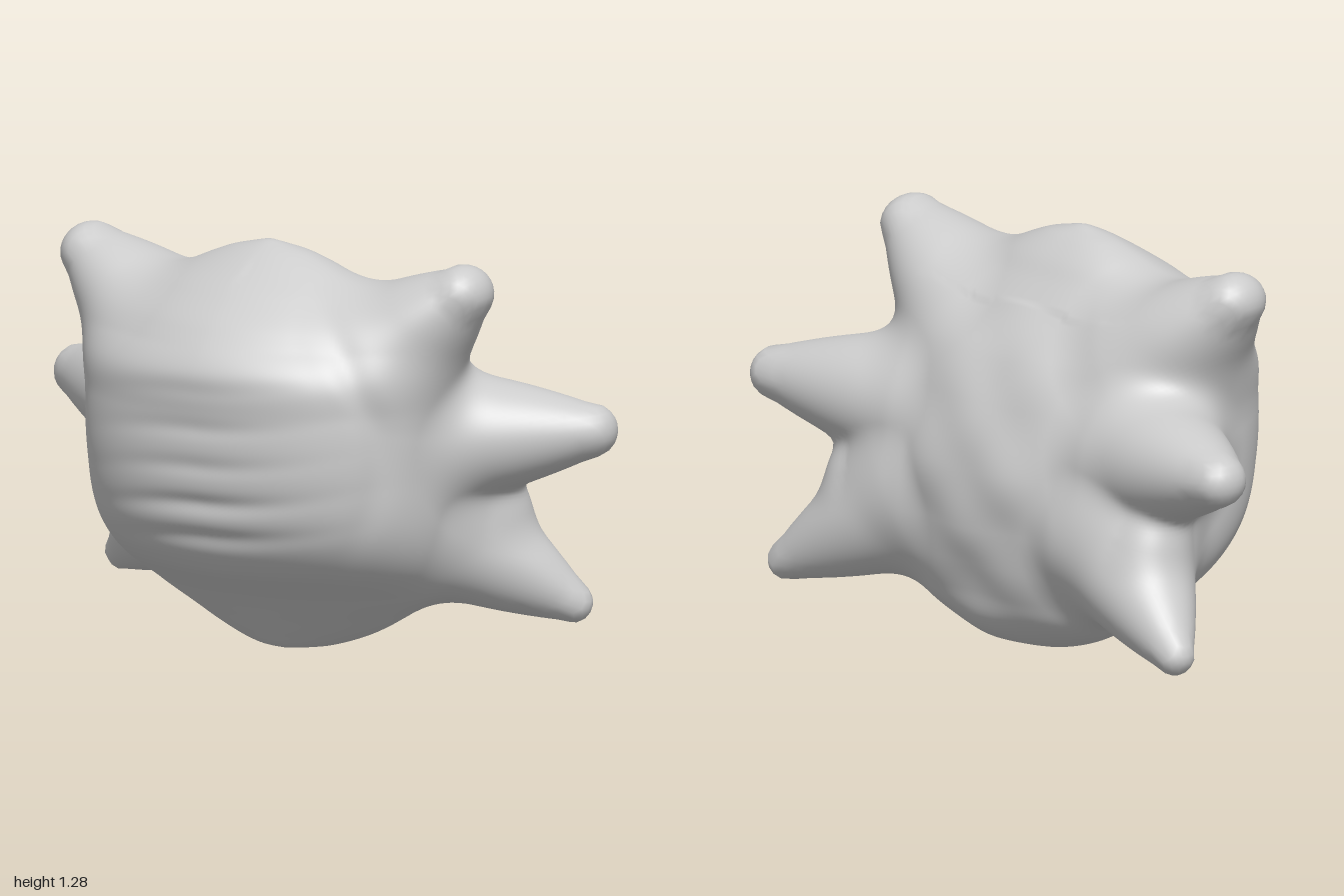
import * as THREE from 'three';
import { mergeVertices } from 'three/addons/utils/BufferGeometryUtils.js';

// Body sections: height, half width, front z, back z
const SECTIONS = [
  [0, 0.06, -0.04, -0.16], [0.012, 0.14, 0.0, -0.22], [0.05, 0.25, 0.045, -0.31],
  [0.12, 0.37, 0.12, -0.38], [0.2, 0.48, 0.21, -0.41], [0.3, 0.55, 0.34, -0.44],
  [0.42, 0.585, 0.42, -0.46], [0.6, 0.595, 0.46, -0.46], [0.8, 0.595, 0.47, -0.395],
  [0.93, 0.57, 0.475, -0.325], [1.05, 0.48, 0.39, -0.22], [1.14, 0.37, 0.285, -0.14],
  [1.2, 0.26, 0.2, -0.09], [1.25, 0.14, 0.12, -0.03], [1.27, 0.06, 0.08, 0.01],
  [1.28, 0.015, 0.055, 0.03],
];

// Spikes and the web between the lower two, mirrored on x:
// base centre and radius, tip centre and radius, thickness along z
const SPIKES = [
  { a: [0.38, 0.94, 0.0], ra: 0.215, b: [0.665, 1.168, 0.0], rb: 0.092, deep: 1.22 },
  { a: [0.48, 0.68, -0.18], ra: 0.205, b: [0.912, 0.718, -0.335], rb: 0.085, deep: 1.1 },
  { a: [0.42, 0.4, -0.24], ra: 0.21, b: [0.803, 0.163, -0.41], rb: 0.064, deep: 1 },
  { a: [0.4, 0.46, -0.22], ra: 0.18, b: [0.61, 0.45, -0.3], rb: 0.08, deep: 1.1 },
].map((s) => ({ ...s, a: new THREE.Vector3(...s.a), b: new THREE.Vector3(...s.b) }));

const { lerp, clamp, smoothstep } = THREE.MathUtils;
const bell = (v, c, w) => Math.exp(-(((v - c) / w) ** 2));

const smoothMin = (a, b, k) => {
  const h = Math.max(k - Math.abs(a - b), 0) / k;
  return Math.min(a, b) - h * h * k * 0.25;
};

// Smooth curve through one column of the section table
function sectionValue(i, t, column) {
  const at = (k) => SECTIONS[clamp(k, 0, SECTIONS.length - 1)];
  const slope = (k) => (at(k + 1)[column] - at(k - 1)[column]) / (at(k + 1)[0] - at(k - 1)[0]);
  const a = at(i - 1), b = at(i), step = b[0] - a[0];
  const u = 1 - t;
  return a[column] * u * u * (1 + 2 * t) + b[column] * t * t * (3 - 2 * t)
    + step * (slope(i - 1) * t * u * u - slope(i) * t * t * u);
}

function bodyDistance(p) {
  if (p.y <= SECTIONS[0][0] || p.y >= SECTIONS[SECTIONS.length - 1][0]) return 0.3;
  const i = SECTIONS.findIndex((s) => s[0] > p.y);
  const t = (p.y - SECTIONS[i - 1][0]) / (SECTIONS[i][0] - SECTIONS[i - 1][0]);
  const [w, front, back] = [1, 2, 3].map((column) => sectionValue(i, t, column));
  const mid = (front + back) / 2, depth = (front - back) / 2;
  // Domed face, flatter back
  const n = p.z < mid ? 2.4 : Math.max(1.75, 2.28 - 3.3 * (p.y - 0.6) ** 2);
  const r = (Math.abs(p.x / w) ** n + Math.abs((p.z - mid) / depth) ** n) ** (1 / n);
  return (r - 1) * Math.min(w, depth);
}

const axis = new THREE.Vector3(), rel = new THREE.Vector3();
function spikeDistance(p, s) {
  axis.subVectors(s.b, s.a);
  rel.set(Math.abs(p.x), p.y, p.z).sub(s.a);
  const t = clamp(rel.dot(axis) / axis.lengthSq(), 0, 1);
  rel.addScaledVector(axis, -t);
  rel.z /= s.deep;
  return rel.length() - lerp(s.ra, s.rb, t ** 1.45);
}

function field(p) {
  let d = bodyDistance(p);
  for (const s of SPIKES) d = smoothMin(d, spikeDistance(p, s), 0.1);
  return d;
}

// Shallow furrows in front, a curved crease on one side, a lumpy back
function relief(p) {
  let r = 0;
  if (p.z > 0.1) {
    const y = p.y - 0.25 * p.x * Math.abs(p.x);
    const patch = bell(p.x, 0, 0.28) * smoothstep(p.z, 0.15, 0.35);
    for (const [h, depth] of [[0.41, 0.012], [0.52, 0.014], [0.64, 0.008], [0.76, 0.007], [0.88, 0.005]])
      r -= patch * depth * bell(y, h, 0.03);
  }
  if (p.x > 0) {
    const ring = Math.hypot(p.x, p.y - 0.68);
    r -= 0.014 * bell(ring, 0.53, 0.035) * bell(p.y, 0.8, 0.3) * smoothstep(p.z, 0, 0.15);
  }
  if (p.z < -0.2)
    r += 0.007 * Math.sin(p.x * 17 + 1) * Math.sin(p.y * 19) * bell(p.x, 0, 0.35);
  return r;
}

export function createModel() {
  const group = new THREE.Group();
  group.name = 'spikedHead';

  // A fine sphere pushed outward until it meets the blended surface
  let geometry = new THREE.IcosahedronGeometry(1, 52);
  geometry.deleteAttribute('normal');
  geometry.deleteAttribute('uv');
  geometry = mergeVertices(geometry, 1e-5);
  const centre = new THREE.Vector3(0, 0.62, -0.1);
  const pos = geometry.attributes.position;
  const dir = new THREE.Vector3(), p = new THREE.Vector3();
  const at = (r) => p.copy(centre).addScaledVector(dir, r);
  for (let i = 0; i < pos.count; i++) {
    dir.fromBufferAttribute(pos, i).normalize();
    let lo = 0.2;
    while (lo < 1.4 && field(at(lo + 0.025)) < 0) lo += 0.025;
    let hi = lo + 0.025;
    for (let k = 0; k < 12; k++) {
      const m = (lo + hi) / 2;
      if (field(at(m)) < 0) lo = m; else hi = m;
    }
    at(lo);
    at(lo + relief(p));
    pos.setXYZ(i, p.x, p.y, p.z);
  }
  geometry.computeVertexNormals();

  const mesh = new THREE.Mesh(geometry, new THREE.MeshStandardMaterial({ color: 0xcccccc }));
  mesh.name = 'headWithSpikes';
  group.add(mesh);
  return group;
}
